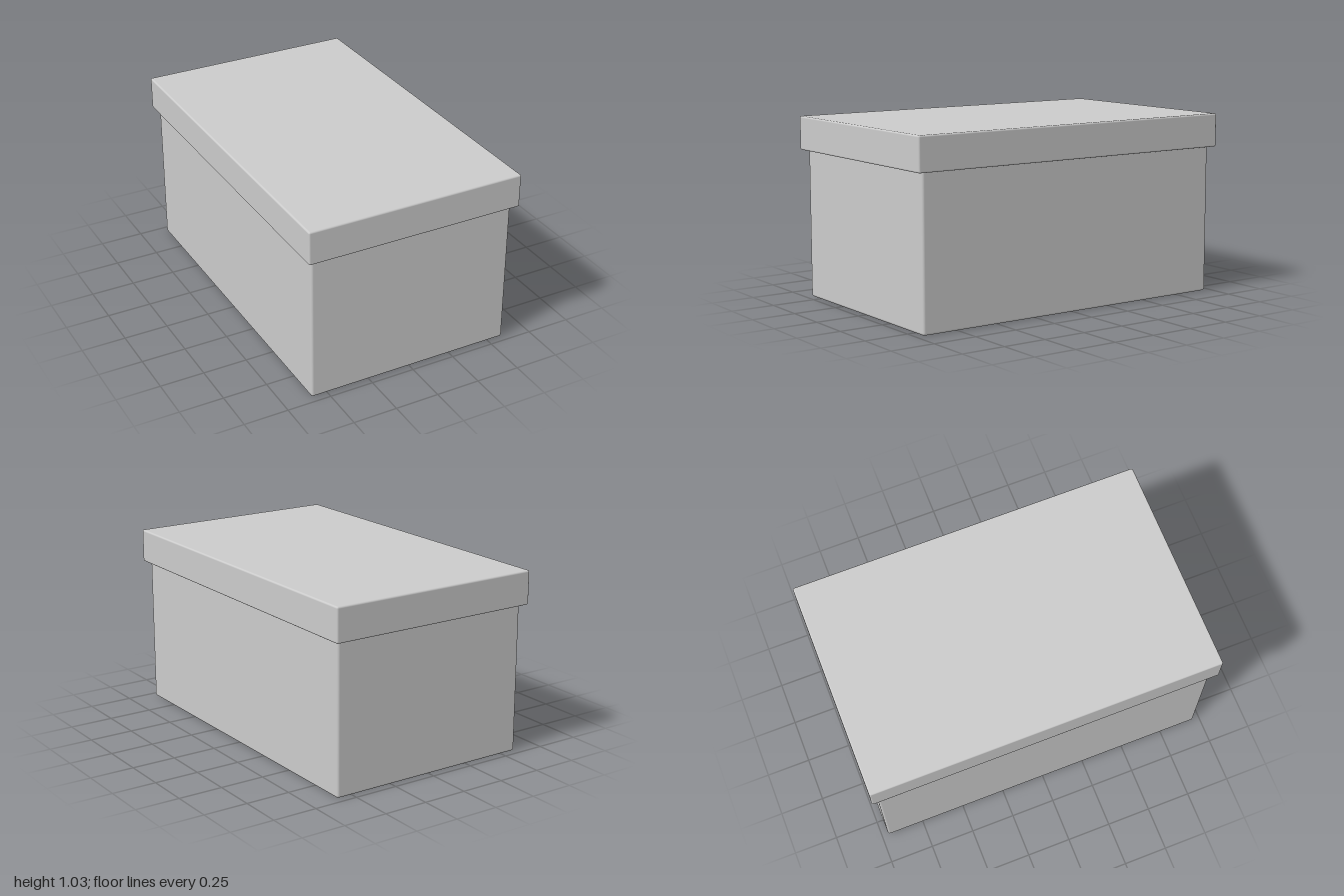
import * as THREE from 'three';
import { RoundedBoxGeometry } from 'three/addons/geometries/RoundedBoxGeometry.js';

const material = new THREE.MeshStandardMaterial({ color: 0xcccccc });

// Softly bevelled block standing between two heights
function block(name, width, depth, bottom, top, bevel) {
  const geometry = new RoundedBoxGeometry(width, top - bottom, depth, 2, bevel);
  const mesh = new THREE.Mesh(geometry, material);
  mesh.name = name;
  mesh.position.y = (bottom + top) / 2;
  return mesh;
}

export function createModel() {
  const group = new THREE.Group();
  group.name = 'liddedBox';

  // Box body, reaching up inside the lid
  group.add(block('boxBody', 1.185, 1.925, 0, 0.98, 0.014));

  // Overhanging lid
  group.add(block('lid', 1.245, 2, 0.837, 1.027, 0.01));

  return group;
}
